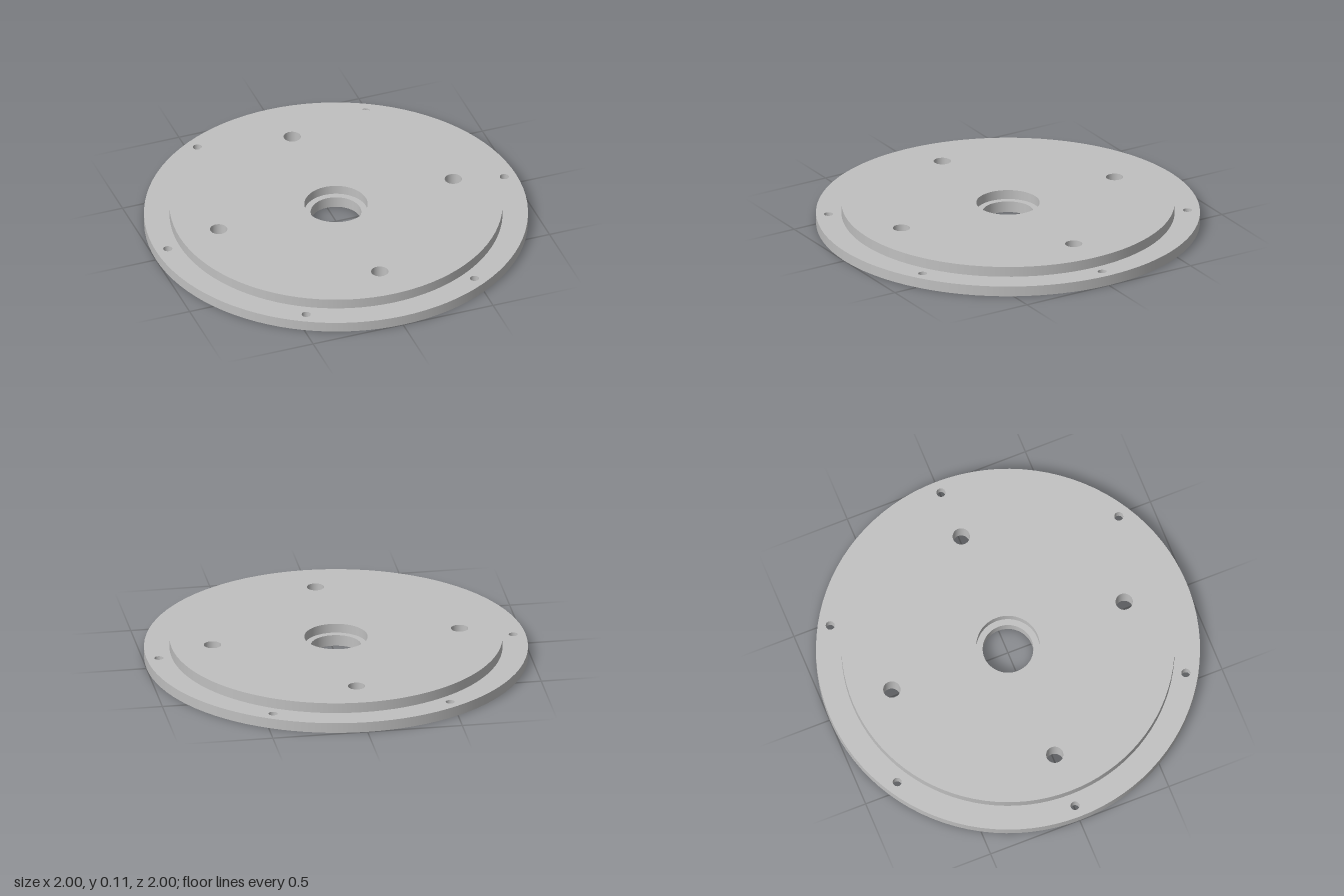
import * as THREE from 'three';

const BASE_R = 1, BASE_Y = 0.055;      // wide flange
const DISC_R = 0.868, TOP_Y = 0.11;    // raised disc
const BORE_R = 0.132, RECESS_R = 0.165, RECESS_Y = 0.06;
const SEGMENTS = 96;

// Evenly spaced hole centres on a circle
const ring = (count, radius, r) => Array.from({ length: count }, (_, i) => {
  const a = (i / count) * Math.PI * 2;
  return { x: radius * Math.cos(a), z: radius * Math.sin(a), r };
});

export function createModel() {
  const group = new THREE.Group();
  const metal = new THREE.MeshStandardMaterial({ color: 0xc0c0c0 });

  const add = (name, geometry) => {
    const mesh = new THREE.Mesh(geometry, metal);
    mesh.name = name;
    group.add(mesh);
    return mesh;
  };

  // Flat round face with circular holes, facing up or down
  const face = (name, radius, y, holes, up = true) => {
    const shape = new THREE.Shape().absarc(0, 0, radius, 0, Math.PI * 2);
    for (const h of holes) {
      shape.holes.push(new THREE.Path().absarc(h.x, h.z, h.r, 0, Math.PI * 2, true));
    }
    const geometry = new THREE.ShapeGeometry(shape, SEGMENTS / 2);
    geometry.rotateX(up ? -Math.PI / 2 : Math.PI / 2);
    add(name, geometry).position.y = y;
  };

  // Round wall: rising profiles face outward, falling ones inward
  const wall = (name, r, from, to, x = 0, z = 0) => {
    const profile = [new THREE.Vector2(r, from), new THREE.Vector2(r, to)];
    add(name, new THREE.LatheGeometry(profile, SEGMENTS)).position.set(x, 0, z);
  };

  const boltHoles = ring(4, 0.652, 0.045);
  const rimHoles = ring(6, 0.935, 0.0235);
  const centre = r => ({ x: 0, z: 0, r });

  // Flat faces
  face('underside', BASE_R, 0, [centre(BORE_R), ...boltHoles, ...rimHoles], false);
  face('flangeLedge', BASE_R, BASE_Y, [centre(DISC_R), ...rimHoles]);
  face('discTop', DISC_R, TOP_Y, [centre(RECESS_R), ...boltHoles]);
  face('recessFloor', RECESS_R, RECESS_Y, [centre(BORE_R)]);

  // Outer edges
  wall('flangeEdge', BASE_R, 0, BASE_Y);
  wall('discEdge', DISC_R, BASE_Y, TOP_Y);

  // Stepped centre bore
  wall('recessWall', RECESS_R, TOP_Y, RECESS_Y);
  wall('boreWall', BORE_R, RECESS_Y, 0);

  // Through holes
  for (const h of boltHoles) wall('boltHole', h.r, TOP_Y, 0, h.x, h.z);
  for (const h of rimHoles) wall('rimHole', h.r, BASE_Y, 0, h.x, h.z);

  return group;
}
